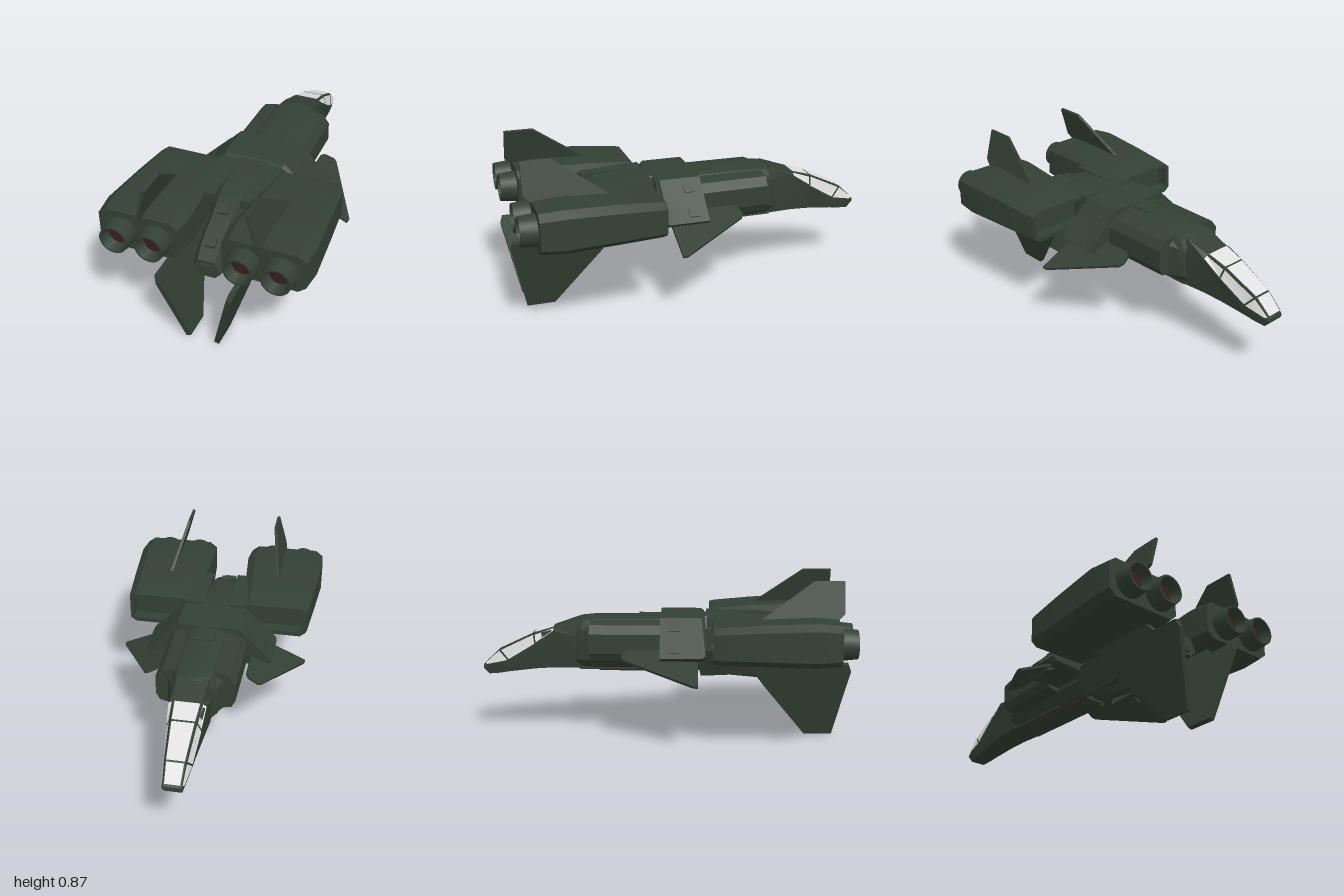
import * as THREE from 'three';
import { toCreasedNormals } from 'three/addons/utils/BufferGeometryUtils.js';

const mat = (name, color) => Object.assign(new THREE.MeshStandardMaterial({ color }), { name });

export function createModel() {
  const root = new THREE.Group();
  root.name = 'spacecraft';
  const hull = mat('hull green', 0x334035);
  const glass = mat('canopy glass', 0xe0e0e0);
  glass.side = THREE.DoubleSide;
  const glow = mat('exhaust red', 0x381f22);

  const add = (name, geo, material = hull) => {
    const m = new THREE.Mesh(geo, material);
    m.name = name;
    root.add(m);
    return m;
  };
  const fromTriangles = (pts) => {
    const g = new THREE.BufferGeometry();
    g.setAttribute('position', new THREE.Float32BufferAttribute(pts.flat(), 3));
    return toCreasedNormals(g, 0.45);
  };
  // skin over counter-clockwise rings of [x, y] placed at z, with end caps
  const loft = (sections) => {
    const rings = sections.map(([z, r]) => r.map(([x, y]) => [x, y, z]));
    const t = [], n = rings[0].length, last = rings[rings.length - 1];
    for (let k = 0; k < rings.length - 1; k++) {
      for (let i = 0; i < n; i++) {
        const j = (i + 1) % n, [p, q] = [rings[k], rings[k + 1]];
        t.push(p[i], p[j], q[j], p[i], q[j], q[i]);
      }
    }
    for (let i = 1; i < n - 1; i++) {
      t.push(rings[0][0], rings[0][i + 1], rings[0][i], last[0], last[i], last[i + 1]);
    }
    return fromTriangles(t);
  };
  // half outline from bottom to top, mirrored across x
  const sym = (half) => [...half, ...half.slice().reverse().map(([x, y]) => [-x, y])];
  // thickened polygon of 3D points
  const plate = (points, thick) => {
    const v = points.map((p) => new THREE.Vector3(...p));
    const n = v[1].clone().sub(v[0]).cross(v[2].clone().sub(v[0])).normalize();
    const a = v.map((p) => p.clone().addScaledVector(n, -thick / 2).toArray());
    const b = v.map((p) => p.clone().addScaledVector(n, thick / 2).toArray());
    const t = [];
    for (let i = 0; i < v.length; i++) {
      const j = (i + 1) % v.length;
      t.push(a[i], a[j], b[j], a[i], b[j], b[i]);
      if (i > 0 && j > 0) t.push(a[0], a[j], a[i], b[0], b[i], b[j]);
    }
    return fromTriangles(t);
  };
  const box = (name, w, h, d, x, y, z, material = hull) => {
    const m = add(name, new THREE.BoxGeometry(w, h, d), material);
    m.position.set(x, y, z);
    return m;
  };

  // nose: half sections run keel, sill, canopy roof
  const nose = [
    [-1, [[0.04, 0.352], [0.05, 0.362], [0.044, 0.375]]],
    [-0.97, [[0.043, 0.322], [0.055, 0.383], [0.046, 0.403]]],
    [-0.91, [[0.05, 0.328], [0.063, 0.392], [0.05, 0.46]]],
    [-0.855, [[0.056, 0.338], [0.07, 0.4], [0.054, 0.486]]],
    [-0.71, [[0.07, 0.358], [0.087, 0.492], [0.064, 0.555]]],
    [-0.6, [[0.08, 0.367], [0.096, 0.572], [0.071, 0.588]]],
    [-0.46, [[0.09, 0.367], [0.105, 0.54], [0.082, 0.635]]],
  ];
  add('nose', loft(nose.map(([z, h]) => [z, sym(h)])));

  // point on the sill (1) or roof (2) line of the nose at any z
  const edge = (k, z, s) => {
    const i = Math.max(1, nose.findIndex((n) => n[0] >= z));
    const [[z0, a], [z1, b]] = [nose[i - 1], nose[i]];
    const f = (z - z0) / (z1 - z0);
    return [s * (a[k][0] + (b[k][0] - a[k][0]) * f), a[k][1] + (b[k][1] - a[k][1]) * f, z];
  };
  // canopy panes: roof and both sides, inset between the frames
  const pane = (name, corners, normal) => {
    const c = corners.map((p) => new THREE.Vector3(...p));
    const at = (u, w) => c[0].clone().lerp(c[1], u).lerp(c[3].clone().lerp(c[2], u), w);
    const lu = 0.005 / c[0].distanceTo(c[1]), lw = Math.min(0.15, 0.006 / c[1].distanceTo(c[2]));
    const p = [at(lu, lw), at(1 - lu, lw), at(1 - lu, 1 - lw), at(lu, 1 - lw)]
      .map((q) => q.addScaledVector(normal, 0.005).toArray());
    add(name, fromTriangles([p[0], p[1], p[2], p[0], p[2], p[3]]), glass);
  };
  const bars = [[-0.98, -0.995], [-0.855, -0.91], [-0.705, -0.715], [-0.6, -0.6]];
  for (let i = 0; i < 3; i++) {
    const [[s0, r0], [s1, r1]] = [bars[i], bars[i + 1]];
    pane('canopyRoofPane', [edge(2, r0, -1), edge(2, r1, -1), edge(2, r1, 1), edge(2, r0, 1)],
      new THREE.Vector3(0, 0.85, -0.4).normalize());
    for (const s of [-1, 1]) {
      pane('canopySidePane', [edge(1, s0, s), edge(1, s1, s), edge(2, r1, s), edge(2, r0, s)],
        new THREE.Vector3(s, 0.3, -0.1).normalize());
    }
  }

  // rounded mid fuselage
  const mid = (w, top) => sym([[w * 0.6, 0.365], [w, 0.42], [w, 0.55], [w * 0.9, top - 0.045],
    [w * 0.7, top - 0.012], [w * 0.35, top]]);
  add('fuselage', loft([[-0.48, mid(0.105, 0.63)], [-0.45, mid(0.125, 0.642)],
    [-0.38, mid(0.135, 0.648)], [0.22, mid(0.13, 0.652)]]));
  box('dorsalRidge', 0.1, 0.03, 0.16, 0, 0.641, -0.06);
  box('bellyStrip', 0.1, 0.03, 0.52, 0, 0.36, -0.1);

  // sloping tail with service hatches
  const tail = (w, yb, yt) => sym([[w * 0.6, yb], [w, yb + 0.03], [w, yt - 0.06], [w * 0.6, yt]]);
  add('tail', loft([[0.2, tail(0.125, 0.36, 0.655)], [0.5, tail(0.1, 0.35, 0.65)],
    [0.61, tail(0.085, 0.35, 0.605)], [0.77, tail(0.08, 0.35, 0.515)], [0.84, tail(0.075, 0.36, 0.455)]]));
  box('tailHatch', 0.056, 0.02, 0.05, 0, 0.607, 0.61).rotation.x = 0.45;
  box('tailHatch', 0.056, 0.02, 0.05, 0, 0.52, 0.77).rotation.x = 0.55;
  box('tailHatch', 0.056, 0.06, 0.02, 0, 0.405, 0.842);
  const keel = (y) => sym([[0.032, y], [0.055, 0.37]]);
  add('keel', loft([[0.18, keel(0.345)], [0.35, keel(0.32)], [0.52, keel(0.305)], [0.58, keel(0.305)], [0.72, keel(0.35)]]));

  // cross body carrying the wings
  const cross = (k) => sym([[0.12, 0.44 + k], [0.33 - k, 0.455 + k], [0.352 - k, 0.475 + k], [0.17 - k, 0.66 - k]]);
  add('crossBody', loft([[-0.02, cross(0)], [0.2, cross(0)], [0.22, cross(0.012)]]));

  // chamfered nacelle outline
  const oct = (x0, x1, y0, y1, c) => [[x0 + c, y0], [x1 - c, y0], [x1, y0 + c * 0.8], [x1, y1 - c * 0.8],
    [x1 - c, y1], [x0 + c, y1], [x0, y1 - c * 0.8], [x0, y0 + c * 0.8]];
  const circle = (r) => Array.from({ length: 28 }, (_, i) => {
    const a = (i / 28) * Math.PI * 2;
    return [r * Math.cos(a), r * Math.sin(a)];
  });

  for (const s of [-1, 1]) {
    const flip = (ring) => (s > 0 ? ring : ring.map(([x, y]) => [-x, y]).reverse());
    const side = (pts) => pts.map(([x, y, z]) => [s * x, y, z]);

    // engine nacelle with a recessed intake
    const intake = flip(oct(0.175, 0.485, 0.5, 0.63, 0.015));
    add('engineNacelle', loft([
      [0.32, intake], [0.255, intake],
      [0.255, flip(oct(0.15, 0.505, 0.475, 0.653, 0.03))],
      [0.28, flip(oct(0.142, 0.512, 0.47, 0.66, 0.038))],
      [0.5, flip(oct(0.125, 0.53, 0.465, 0.678, 0.042))],
      [0.78, flip(oct(0.102, 0.55, 0.462, 0.69, 0.042))],
      [0.9, flip(oct(0.112, 0.54, 0.47, 0.68, 0.04))],
    ]));

    // twin exhausts
    for (const x of [0.23, 0.42]) {
      const nozzle = add('exhaustNozzle', loft([[0.87, circle(0.082)], [0.92, circle(0.082)], [0.988, circle(0.075)],
        [0.988, circle(0.066)], [0.93, circle(0.05)]]));
      const disc = add('exhaustGlow', new THREE.CircleGeometry(0.05, 28), glow);
      nozzle.position.set(s * x, 0.57, 0);
      disc.position.set(s * x, 0.57, 0.933);
    }

    // pylon between tail and nacelle
    box('nacellePylon', 0.1, 0.05, 0.34, s * 0.12, 0.63, 0.4);

    // upper fin
    const up = (z, y) => [0.313 - (y - 0.68) * 0.28, y, z];
    add('upperFin', plate(side([up(0.94, 0.705), up(0.94, 0.872), up(0.785, 0.872), up(0.5, 0.67), up(0.9, 0.67)]), 0.016));

    // lower fin
    const low = (z, y) => [0.076 + y * 0.288, y, z];
    add('lowerFin', plate(side([low(0.77, 0.004), low(0.92, 0.004), low(1, 0.38), low(0.985, 0.42),
      low(0.84, 0.42), low(0.8, 0.47), low(0.41, 0.47), low(0.53, 0.305)]), 0.027));

    // swept winglet with a thicker root bracket
    const wing = (x, z, drop = 0) => [x, 0.602 - drop - x * 0.46, z];
    add('wing', plate(side([wing(0.235, 0.18), wing(0.517, 0.18), wing(0.517, 0.155), wing(0.32, -0.21),
      wing(0.3, -0.222), wing(0.25, -0.21), wing(0.235, -0.18)]), 0.014));
    add('wingBracket', plate(side([wing(0.25, 0.16, 0.01), wing(0.335, 0.16, 0.01),
      wing(0.335, 0, 0.01), wing(0.25, -0.03, 0.01)]), 0.024));

    // shoulder block with chamfered corners
    const shoulder = (w) => flip([[0.1, 0.41], [w - 0.02, 0.43], [w, 0.47], [w, 0.575], [w - 0.035, 0.62], [0.1, 0.635]]);
    add('shoulder', loft([[-0.4, shoulder(0.21)], [0, shoulder(0.215)]]));
    add('collar', loft([[-0.47, flip([[0.09, 0.42], [0.11, 0.42], [0.11, 0.57], [0.09, 0.6]])],
      [-0.39, flip([[0.09, 0.4], [0.15, 0.42], [0.15, 0.59], [0.09, 0.63]])]]));

    // lower strake, belly rail and belly side strip
    add('strake', plate(side([[0.09, 0.33, 0.2], [0.09, 0.34, 0.42], [0.1, 0.4, 0.6], [0.15, 0.48, 0.6], [0.15, 0.48, 0.16]]), 0.022));
    box('bellyRail', 0.025, 0.025, 0.4, s * 0.075, 0.373, -0.26);
    box('bellySideStrip', 0.004, 0.012, 0.5, s * 0.051, 0.353, -0.1, glow);

    // hatches on the sloping cross body
    for (const x of [0.212, 0.312]) {
      box('slopeHatch', 0.05, 0.016, 0.055, s * x, 0.826 - x, 0.055).rotation.z = -s * Math.PI / 4;
    }
  }
  return root;
}
